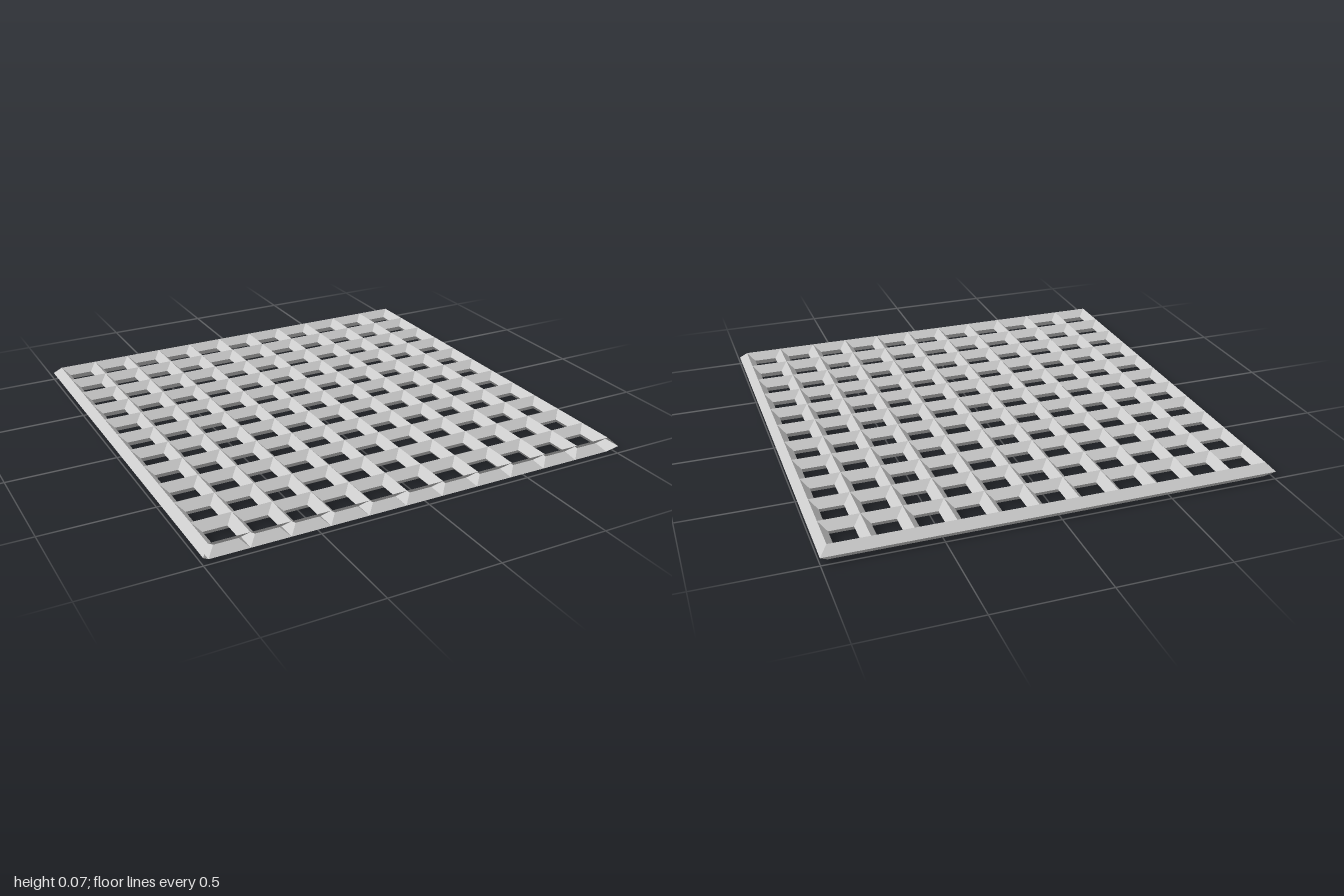
import * as THREE from 'three';
import { mergeGeometries } from 'three/addons/utils/BufferGeometryUtils.js';

const CELLS = 11;            // openings per side
const H = 0.035;             // half width and half height of the diamond-section bars
const RIDGE = 1 - H;         // centre line of the outermost bars
const PITCH = (2 * RIDGE) / CELLS;

// Mitred square band from [halfSide, y] pairs, starting at the front left corner
function squareBand(profile, sides) {
  const points = profile.map(([half, y]) => new THREE.Vector2(half * Math.SQRT2, y));
  return new THREE.LatheGeometry(points, sides, Math.PI / 4, (sides * Math.PI) / 2);
}

export function createModel() {
  const group = new THREE.Group();
  group.name = 'grating';
  const material = new THREE.MeshStandardMaterial({
    color: 0xcccccc, flatShading: true, side: THREE.DoubleSide,
  });

  // Each opening is lined by the sloping halves of the four bars around it
  const half = PITCH / 2;
  const lining = squareBand([[half, 2 * H], [half - H, H], [half, 0]], 4);
  for (let row = 0; row < CELLS; row++) {
    const linings = [];
    for (let col = 0; col < CELLS; col++) {
      linings.push(lining.clone().translate(
        (col + 0.5) * PITCH - RIDGE, 0, (row + 0.5) * PITCH - RIDGE));
    }
    const mesh = new THREE.Mesh(mergeGeometries(linings), material);
    mesh.name = `openingRow${row + 1}`;
    group.add(mesh);
  }

  // Bevelled outer rim on the left, back and right; the front is open
  const rim = new THREE.Mesh(squareBand([[RIDGE, 0], [1, H], [RIDGE, 2 * H]], 3), material);
  rim.name = 'outerRim';
  group.add(rim);

  return group;
}
